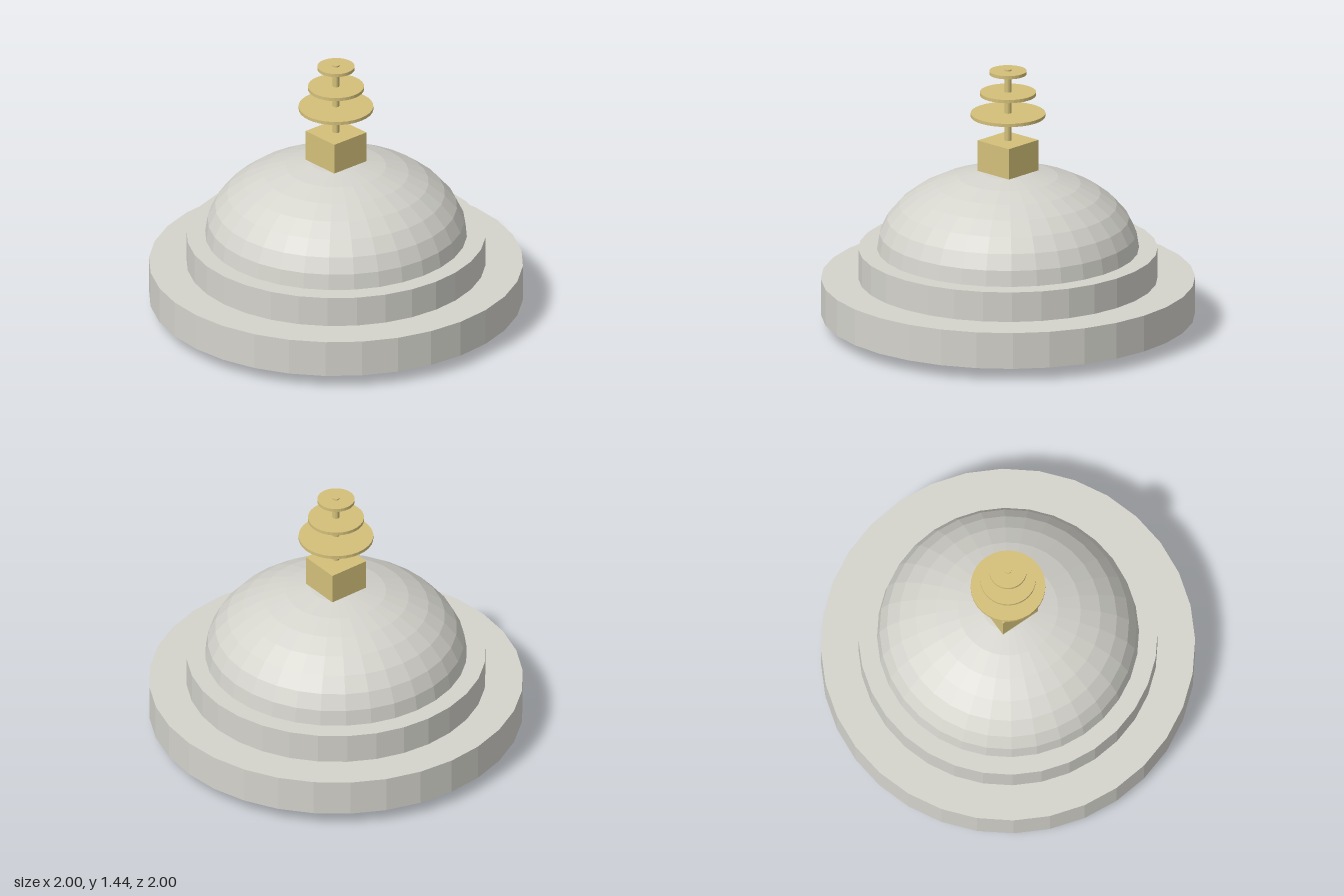
import * as THREE from 'three';

const stone = new THREE.MeshStandardMaterial({ color: 0xd4d3cc, flatShading: true });
const gold = new THREE.MeshStandardMaterial({ color: 0xd4c07a, flatShading: true });

export function createModel() {
  const model = new THREE.Group();

  const add = (name, geometry, material, y) => {
    const mesh = new THREE.Mesh(geometry, material);
    mesh.name = name;
    mesh.position.y = y;
    model.add(mesh);
    return mesh;
  };

  // Upright cylinder given by its bottom and top heights
  const drum = (name, radius, bottom, top, material, sides = 32) =>
    add(name, new THREE.CylinderGeometry(radius, radius, top - bottom, sides), material, (bottom + top) / 2);

  // Stepped round base
  drum('lowerTier', 1, 0.07, 0.27, stone);
  drum('upperTier', 0.8, 0.27, 0.435, stone);

  // Flattened full sphere: dome above, shallow bulge below the base
  const dome = add('dome', new THREE.SphereGeometry(1, 32, 16), stone, 0.435);
  dome.scale.set(0.7, 0.435, 0.7);

  // Square block on the crown
  add('finialBlock', new THREE.BoxGeometry(0.23, 0.17, 0.23), gold, 0.953);

  // Spire with three shrinking discs
  drum('spirePole', 0.018, 1.038, 1.435, gold, 16);
  [0.2, 0.15, 0.1].forEach((radius, i) => {
    const y = 1.182 + i * 0.118;
    drum('spireDisc' + (i + 1), radius, y - 0.009, y + 0.009, gold);
  });

  return model;
}
